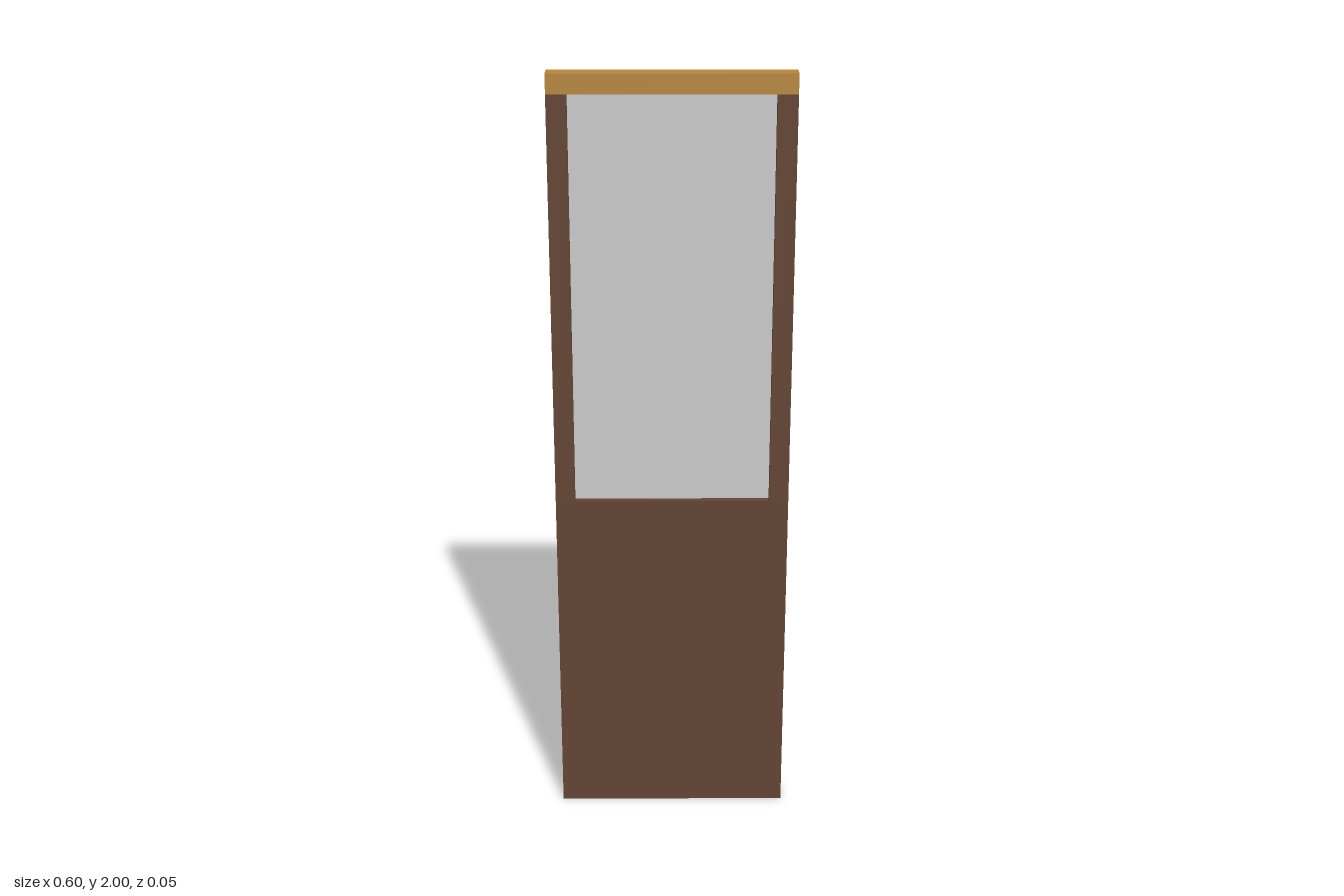
import * as THREE from 'three';

const WIDTH = 0.6, DEPTH = 0.047, HEIGHT = 2;
const PANEL_TOP = 0.9;    // top of the solid lower panel
const RAIL_BOTTOM = 1.95; // underside of the top rail
const STILE = 0.05;       // width of the side posts

export function createModel() {
  const group = new THREE.Group();
  group.name = 'glazedPartition';

  const darkWood = new THREE.MeshStandardMaterial({ color: 0x644535 });
  const lightWood = new THREE.MeshStandardMaterial({ color: 0xb8873f });
  const grey = new THREE.MeshStandardMaterial({ color: 0xcccccc });

  // Box spanning bottom to top, centred on z
  function addBox(name, material, width, bottom, top, depth = DEPTH, x = 0) {
    const mesh = new THREE.Mesh(new THREE.BoxGeometry(width, top - bottom, depth), material);
    mesh.position.set(x, (bottom + top) / 2, 0);
    mesh.name = name;
    group.add(mesh);
  }

  // Solid lower panel and top rail
  addBox('lowerPanel', darkWood, WIDTH, 0, PANEL_TOP);
  addBox('topRail', lightWood, WIDTH, RAIL_BOTTOM, HEIGHT);

  // Side posts, mirrored
  for (const [name, side] of [['leftPost', 1], ['rightPost', -1]]) {
    addBox(name, darkWood, STILE, PANEL_TOP, RAIL_BOTTOM, DEPTH, side * (WIDTH - STILE) / 2);
  }

  // Thin pane set back between the posts
  addBox('windowPane', grey, WIDTH - 2 * STILE, PANEL_TOP, RAIL_BOTTOM, 0.01);

  return group;
}
